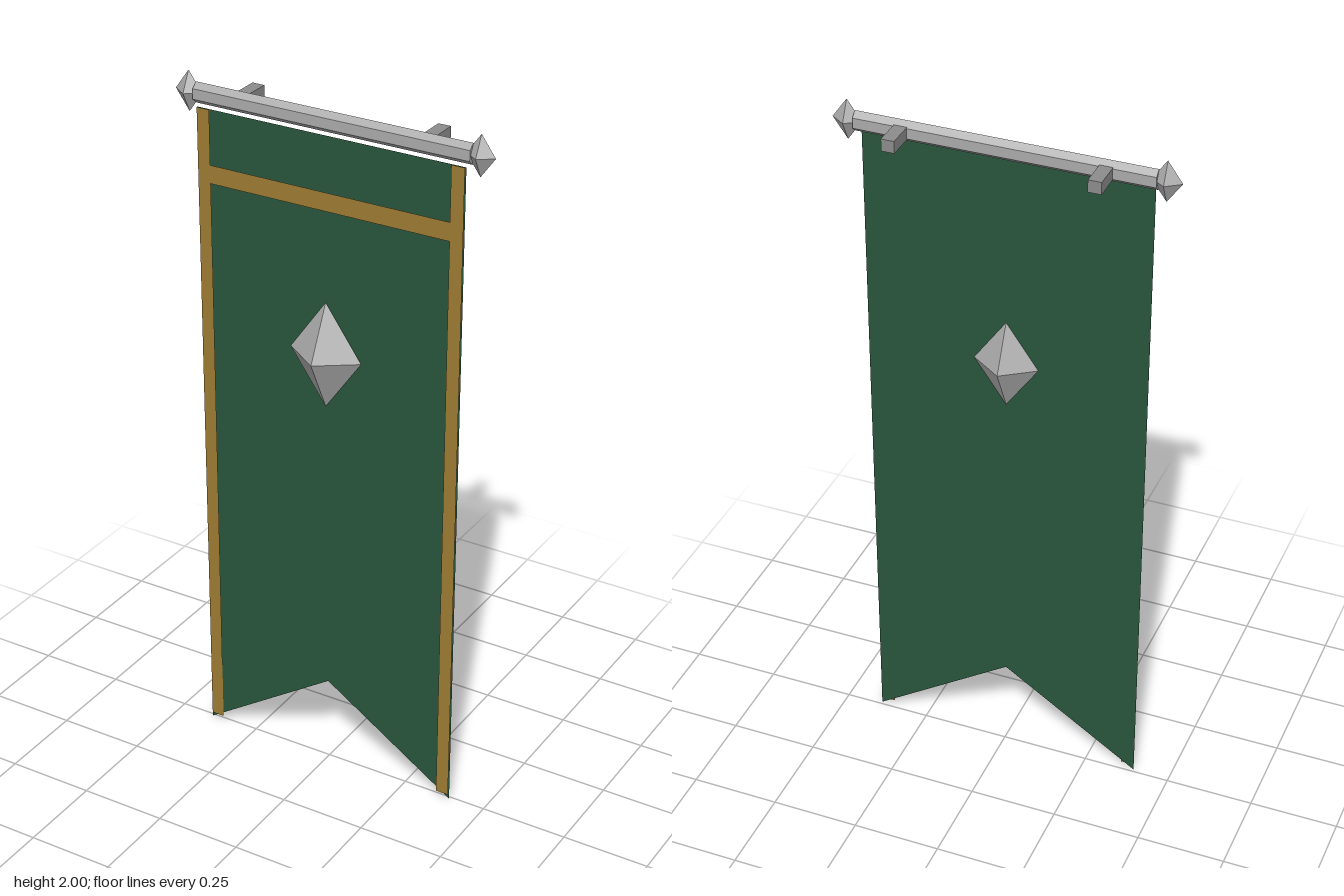
import * as THREE from 'three';

export function createModel() {
  const group = new THREE.Group();
  group.name = 'hangingBanner';

  const mat = (name, color, opts = {}) => {
    const m = new THREE.MeshStandardMaterial({ color, ...opts });
    m.name = name;
    return m;
  };
  const green = mat('green cloth', 0x28543b, { side: THREE.DoubleSide });
  const gold = mat('gold trim', 0x9c7a32, { side: THREE.DoubleSide });
  const metal = mat('pale metal', 0xaaaaaa, { flatShading: true });
  const iron = mat('bracket metal', 0x8c8c8c, { flatShading: true });

  const add = (name, geometry, material, x = 0, y = 0, z = 0) => {
    const mesh = new THREE.Mesh(geometry, material);
    mesh.name = name;
    mesh.position.set(x, y, z);
    group.add(mesh);
    return mesh;
  };
  const octahedron = (x, y, z) => new THREE.OctahedronGeometry(1).scale(x, y, z);

  const poleY = 1.943, poleZ = -0.006;

  // Cloth with a swallowtail notch
  const w = 0.395;
  const outline = new THREE.Shape([
    [-w, 1.91], [-w, 0], [0, 0.26], [w, 0], [w, 1.91],
  ].map(([x, y]) => new THREE.Vector2(x, y)));
  add('cloth', new THREE.ShapeGeometry(outline), green, 0, 0, 0.008);

  // Crossbar of the trim
  add('topTrim', new THREE.PlaneGeometry(0.716, 0.052), gold, 0, 1.73, 0.012);

  // Emblem stone set through the cloth
  add('emblemGem', octahedron(0.108, 0.153, 0.075), metal, 0, 1.298, 0.02);

  // Six-sided, slightly flattened pole lying along x
  const pole = new THREE.CylinderGeometry(0.029, 0.029, 0.81, 6)
    .rotateZ(Math.PI / 2).rotateX(Math.PI / 2).scale(1, 1, 0.68);
  add('pole', pole, metal, 0, poleY, poleZ);

  // Mirrored pieces
  for (const [side, s] of [['left', 1], ['right', -1]]) {
    add(side + 'Trim', new THREE.PlaneGeometry(0.038, 1.895), gold, s * 0.374, 0.9625, 0.012);
    add(side + 'Finial', octahedron(0.041, 0.057, 0.029), metal, s * 0.427, poleY, poleZ);
    add(side + 'Bracket', new THREE.BoxGeometry(0.036, 0.034, 0.085), iron, s * 0.274, poleY, -0.0575);
  }
  return group;
}
